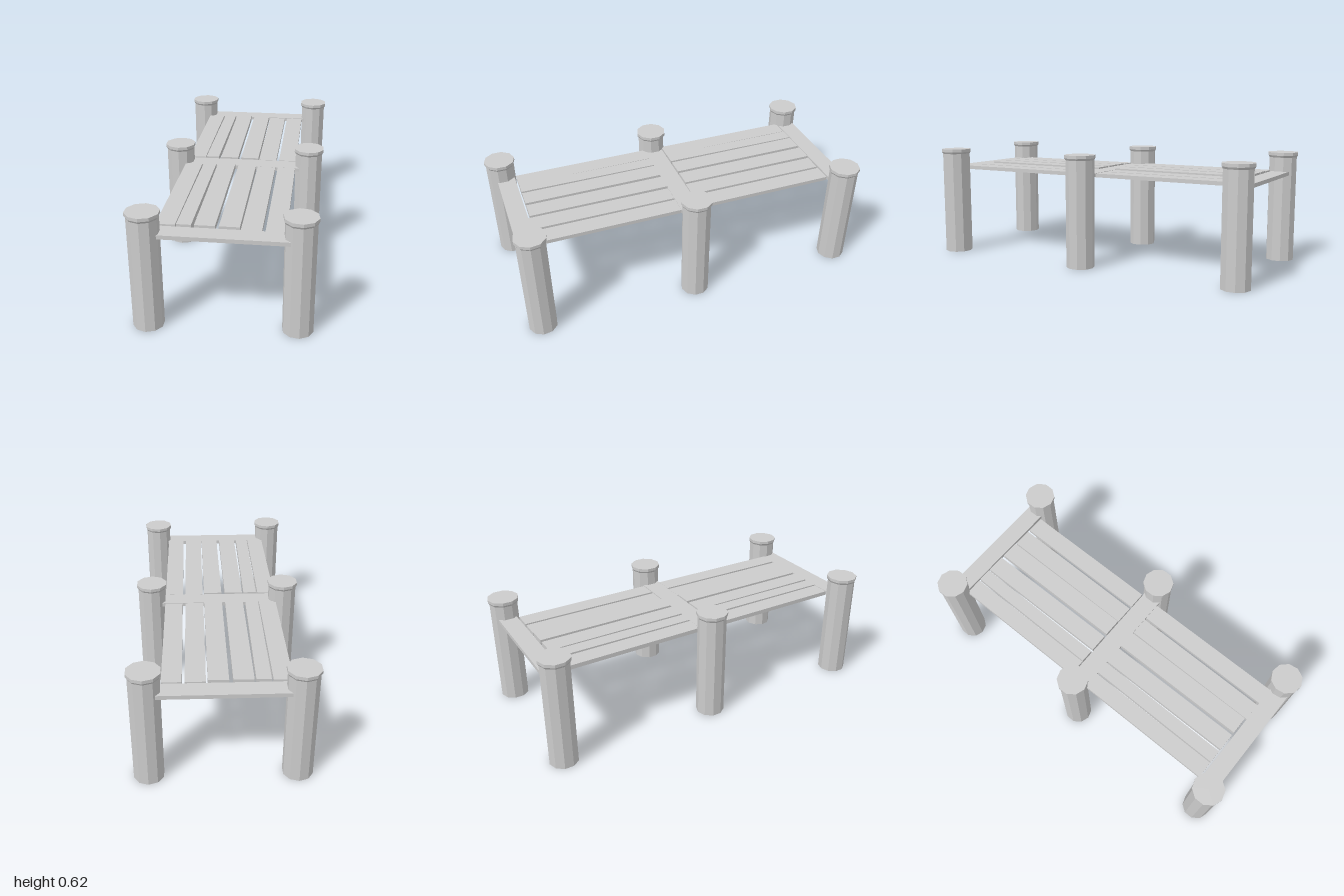
import * as THREE from 'three';

const wood = new THREE.MeshStandardMaterial({ color: 0xcccccc, flatShading: true, side: THREE.DoubleSide });

// Box given by its limits on each axis, optionally turned about its centre
function board(name, x0, x1, y0, y1, z0, z1, turn = 0) {
  const mesh = new THREE.Mesh(new THREE.BoxGeometry(x1 - x0, y1 - y0, z1 - z0), wood);
  mesh.position.set((x0 + x1) / 2, (y0 + y1) / 2, (z0 + z1) / 2);
  mesh.rotation.y = turn;
  mesh.name = name;
  return mesh;
}

export function createModel() {
  const group = new THREE.Group();
  group.name = 'dock';

  // Ten-sided hollow posts, open below, with a flared cap
  const profile = [[0.079, 0], [0.079, 0.597], [0.086, 0.608], [0.086, 0.625], [0, 0.625]]
    .map(([r, y]) => new THREE.Vector2(r, y));
  const postGeometry = new THREE.LatheGeometry(profile, 10);
  const posts = [
    [-0.377, 0.912, 0], [0.368, 0.882, 0.15],
    [-0.377, -0.012, 0], [0.374, -0.012, 0],
    [-0.377, -0.917, 0], [0.374, -0.917, 0],
  ];
  for (const [x, z, turn] of posts) {
    const post = new THREE.Mesh(postGeometry, wood);
    post.position.set(x, 0, z);
    post.rotation.y = turn;
    post.name = 'post';
    group.add(post);
  }

  // Crossbeams joining each pair of posts
  for (const [z0, z1] of [[0.845, 0.945], [-0.06, 0.044], [-0.97, -0.87]]) {
    group.add(board('crossbeam', -0.34, 0.34, 0.497, 0.518, z0, z1));
  }

  // Deck planks: left edge, right edge, bottom, top, slight turn
  const planks = [
    [-0.338, -0.241, 0.499, 0.522, 0.002],
    [-0.234, -0.160, 0.494, 0.526, -0.003],
    [-0.149, -0.047, 0.497, 0.526, 0.004],
    [-0.028, 0.074, 0.494, 0.526, 0.002],
    [0.081, 0.183, 0.497, 0.518, -0.003],
    [0.198, 0.298, 0.497, 0.518, 0],
  ];
  // Each bay runs between two crossbeams; the last two planks reach the front one
  for (const [bay, z0, z1] of [['frontPlank', 0.045, 0.835], ['backPlank', -0.86, -0.065]]) {
    planks.forEach(([x0, x1, y0, y1, turn], i) => {
      const reach = bay === 'frontPlank' && i > 3 ? 0.01 : 0;
      group.add(board(bay, x0, x1, y0, y1, z0, z1 + reach, turn));
    });
  }
  return group;
}
